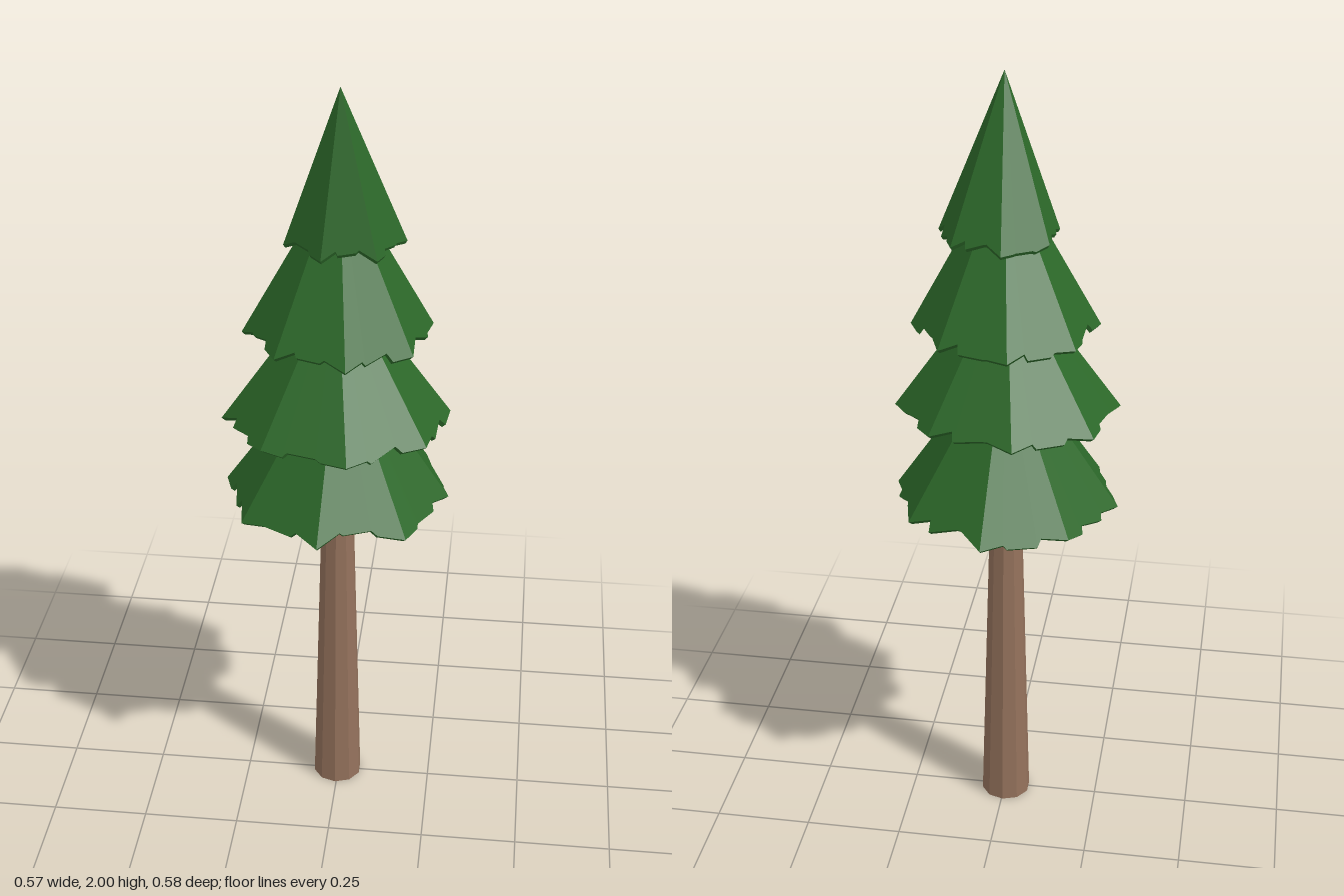
import * as THREE from 'three';

const leafMaterial = new THREE.MeshStandardMaterial({ color: 0x2c6829, flatShading: true });
const barkMaterial = new THREE.MeshStandardMaterial({ color: 0x94725c, flatShading: true });

// Each tier is a leaning cone: rim centre, x and z radii, tip, side count and turn in degrees
const tiers = [
  { name: 'bottomBranches', centre: [-0.003, 0.915, -0.002], radii: [0.292, 0.29], tip: [0, 1.34, 0], sides: 8, turn: 4 },
  { name: 'lowerMiddleBranches', centre: [0, 1.15, 0.036], radii: [0.288, 0.26], tip: [0, 1.55, 0.03], sides: 8, turn: -10 },
  { name: 'upperMiddleBranches', centre: [0.002, 1.38, 0.017], radii: [0.235, 0.24], tip: [0.005, 1.8, 0.03], sides: 8, turn: -10 },
  { name: 'topBranches', centre: [0.015, 1.612, 0.01], radii: [0.152, 0.15], tip: [0.01, 2, 0.06], sides: 7, turn: -10 },
];

function seededRandom(seed) {
  let state = seed;
  return () => {
    state = (state * 16807) % 2147483647;
    return state / 2147483647;
  };
}

// Hollow faceted cone with a ragged rim: outer skin, thin lip, inner skin
function branchTier({ name, centre, radii, tip, sides, turn }, index) {
  const random = seededRandom(7919 * (index + 3));
  const apex = new THREE.Vector3(...tip);
  const middle = new THREE.Vector3(...centre);
  const corner = (i) => {
    const angle = THREE.MathUtils.degToRad(turn) + (i / sides) * Math.PI * 2;
    return new THREE.Vector3(Math.sin(angle) * radii[0], 0, -Math.cos(angle) * radii[1]).add(middle);
  };

  // Cut each facet's lower edge back towards the tip, with two small steps
  const outer = [];
  for (let i = 0; i < sides; i++) {
    for (const along of [0, 0.3, 0.36, 0.7, 0.74]) {
      const point = corner(i).lerp(corner(i + 1), along);
      outer.push(point.lerp(apex, along === 0 ? random() * 0.03 : random() * 0.075));
    }
  }
  const inner = outer.map((p) => new THREE.Vector3(
    THREE.MathUtils.lerp(p.x, middle.x, 0.035), p.y - 0.008, THREE.MathUtils.lerp(p.z, middle.z, 0.035)));
  const innerApex = apex.clone().setY(apex.y - 0.04);

  const points = [];
  outer.forEach((p, i) => {
    const j = (i + 1) % outer.length;
    points.push(apex, outer[j], p);
    points.push(p, outer[j], inner[j], p, inner[j], inner[i]);
    points.push(innerApex, inner[i], inner[j]);
  });
  const geometry = new THREE.BufferGeometry().setFromPoints(points);
  geometry.computeVertexNormals();
  const mesh = new THREE.Mesh(geometry, leafMaterial);
  mesh.name = name;
  return mesh;
}

export function createModel() {
  const tree = new THREE.Group();
  tree.name = 'pineTree';

  // Tapering trunk, ending inside the branches
  const trunk = new THREE.Mesh(new THREE.CylinderGeometry(0.03, 0.065, 1.3, 10, 1, true), barkMaterial);
  trunk.name = 'trunk';
  trunk.position.set(-0.003, 0.65, -0.004);
  tree.add(trunk);

  // Green underside of the trunk
  const trunkBase = new THREE.Mesh(new THREE.CircleGeometry(0.065, 10, Math.PI / 2), leafMaterial);
  trunkBase.name = 'trunkBase';
  trunkBase.rotation.x = Math.PI / 2;
  trunkBase.position.set(-0.003, 0, -0.004);
  tree.add(trunkBase);

  tiers.forEach((tier, index) => tree.add(branchTier(tier, index)));
  return tree;
}
